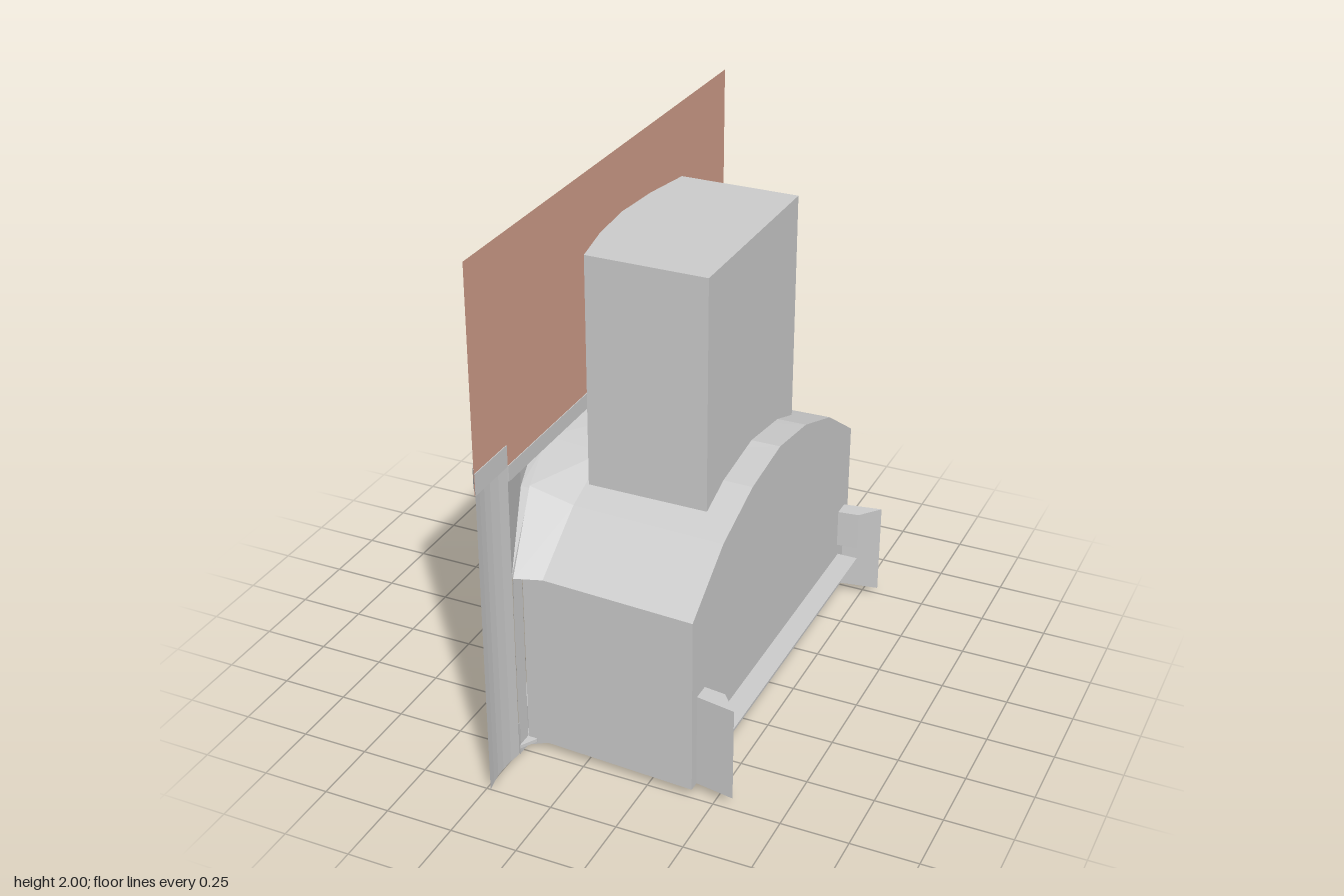
import * as THREE from 'three';

const grey = new THREE.MeshStandardMaterial({ color: 0xcccccc, flatShading: true, side: THREE.DoubleSide });
const brown = new THREE.MeshStandardMaterial({ color: 0xd09d89, side: THREE.DoubleSide });

export function createModel() {
  const model = new THREE.Group();
  const add = (name, geometry, material = grey) => {
    const mesh = new THREE.Mesh(geometry, material);
    mesh.name = name;
    model.add(mesh);
    return mesh;
  };

  // Skin through rows of [x, y, z] points, all rows of equal length
  const loft = (rows) => {
    const n = rows[0].length, index = [];
    for (let r = 0; r < rows.length - 1; r++) {
      for (let i = 0; i < n - 1; i++) {
        const a = r * n + i, b = a + n;
        index.push(a, b, a + 1, a + 1, b, b + 1);
      }
    }
    const g = new THREE.BufferGeometry();
    g.setAttribute('position', new THREE.Float32BufferAttribute(rows.flat(2), 3));
    g.setIndex(index);
    const flat = g.toNonIndexed();
    flat.computeVertexNormals();
    return flat;
  };

  // Upright prism from a plan of [x, z] points
  const prism = (plan, y0, y1) => {
    const shape = new THREE.Shape(plan.map(([x, z]) => new THREE.Vector2(x, -z)));
    const g = new THREE.ExtrudeGeometry(shape, { depth: y1 - y0, bevelEnabled: false });
    return g.rotateX(-Math.PI / 2).translate(0, y0, 0);
  };

  // Mirror half a row, given from the middle outwards, to both sides of z = 0
  const mirrored = (half) => [
    ...half.slice(1).reverse().map(([x, y, z]) => [x, y, -z]), ...half];

  // Firebox: tapered shell with an arched roof and a closed rear wall
  const archZ = [0, 0.25, 0.5, 0.75], archY = [1.015, 0.98, 0.89, 0.72];
  const arch = (x, s) => mirrored(archZ.map((z, i) => [x, archY[i], z * s]));
  const section = (x, s, floorY) => {
    const a = arch(x, s);
    const left = [x, floorY, -0.75 * s];
    return [left, ...a, [x, floorY, 0.75 * s], left];
  };
  const rear = section(0.42, 1, 0.035);
  add('firebox', loft([
    section(-0.235, 0.955, 0), section(-0.155, 0.96, 0.035), rear,
    rear.map(() => [0.42, 0.4, 0]),
  ]));

  // Chimney with a bowed face
  add('chimney', prism([
    [0.31, -0.39], [0.31, 0.39], [-0.14, 0.39], [-0.175, 0.2],
    [-0.19, 0], [-0.175, -0.2], [-0.14, -0.39],
  ], 0.93, 1.8));

  // Half-round fire guard standing on the firebox floor
  const guardRow = (depth, width, y) => Array.from({ length: 13 }, (_, i) => {
    const t = -Math.PI / 2 + i * Math.PI / 12;
    return [0.415 - depth * Math.cos(t), y, width * Math.sin(t)];
  });
  add('fireGuard', loft([
    guardRow(0.46, 0.71, 0.037), guardRow(0.46, 0.71, 0.4),
    guardRow(0.42, 0.66, 0.4), guardRow(0.42, 0.66, 0.037),
  ]));

  // Bowed plan shared by mantel, hood and hearth
  const bowZ = [0, 0.25, 0.5, 0.78], bowX = [-0.44, -0.41, -0.35, -0.24];
  const bow = (dx, ys) => mirrored(bowZ.map((z, i) =>
    [Math.min(bowX[i] + dx, -0.236), Array.isArray(ys) ? ys[i] : ys, z]));

  // Mantel shelf
  add('mantel', prism([
    [-0.235, -0.78], ...bow(-0.127, 0).map(([x, , z]) => [x, z]), [-0.235, 0.78],
  ], 1.12, 1.18));

  // Hood under the mantel, stepping back to a hanging arched lip
  const throatY = [1.0, 0.98, 0.93, 0.73];
  add('hood', loft([
    bow(0, 1.12), bow(0, [1.05, 1.02, 0.93, 0.75]),
    bow(0.035, throatY), bow(0.035, [0.92, 0.89, 0.81, 0.67]),
  ]));
  add('throat', loft([bow(0.035, [1.03, 1.0, 0.94, 0.74]), arch(-0.155, 0.96)]));

  // Hearth: raised curb around a low floor
  add('hearthCurb', loft([bow(0, 0), bow(0, 0.135), bow(0.05, 0.135), bow(0.05, 0)]));
  add('hearthFloor', prism([
    [-0.2, -0.72], ...bow(0.02, 0).map(([x, , z]) => [x, z]), [-0.2, 0.72],
  ], 0.025, 0.038));

  for (const s of [-1, 1]) {
    const side = s > 0 ? 'left' : 'right';

    // Slightly bowed pillar, its capital and the jamb beside the firebox
    const pillarPlan = [[-0.235, 1], [-0.243, 0.96], [-0.249, 0.92], [-0.25, 0.88], [-0.247, 0.83], [-0.24, 0.78]];
    add(side + 'Pillar', loft([0, 1.18].map((y) => pillarPlan.map(([x, z]) => [x, y, z * s]))));
    add(side + 'Capital', prism([
      [-0.235, s], [-0.268, s * 0.955], [-0.28, s * 0.925], [-0.284, s * 0.89],
      [-0.28, s * 0.845], [-0.268, s * 0.815], [-0.235, s * 0.785],
    ], 1.18, 1.26));
    add(side + 'Jamb', loft([0.78, 0.715].map((z) =>
      [[-0.238, 0, z * s], [-0.238, 0.73, z * s]])));

    // Rear wing: outer plate, short inner plate and cover
    const plate = (x, z, y0) => [[0.42, z[0]], [x, z[1]]].map(([px, pz]) =>
      [[px, y0, pz * s], [px, 0.4, pz * s]]);
    add(side + 'WingOuter', loft(plate(0.567, [0.71, 0.735], 0.035)));
    add(side + 'WingInner', loft(plate(0.5, [0.645, 0.655], 0.25)));
    add(side + 'WingCover', loft([
      [[0.42, 0.4, 0.71 * s], [0.567, 0.4, 0.735 * s]],
      [[0.42, 0.4, 0.645 * s], [0.5, 0.4, 0.655 * s]],
    ]));
  }

  // Thin ledge along the rear wall
  add('rearLedge', loft([0.42, 0.5].map((x) => [[x, 0.2, -0.66], [x, 0.2, 0.66]])));

  // Wall panel above the mantel
  const panel = add('wallPanel', new THREE.PlaneGeometry(2, 0.82), brown);
  panel.rotation.y = Math.PI / 2;
  panel.position.set(-0.238, 1.59, 0);

  return model;
}
